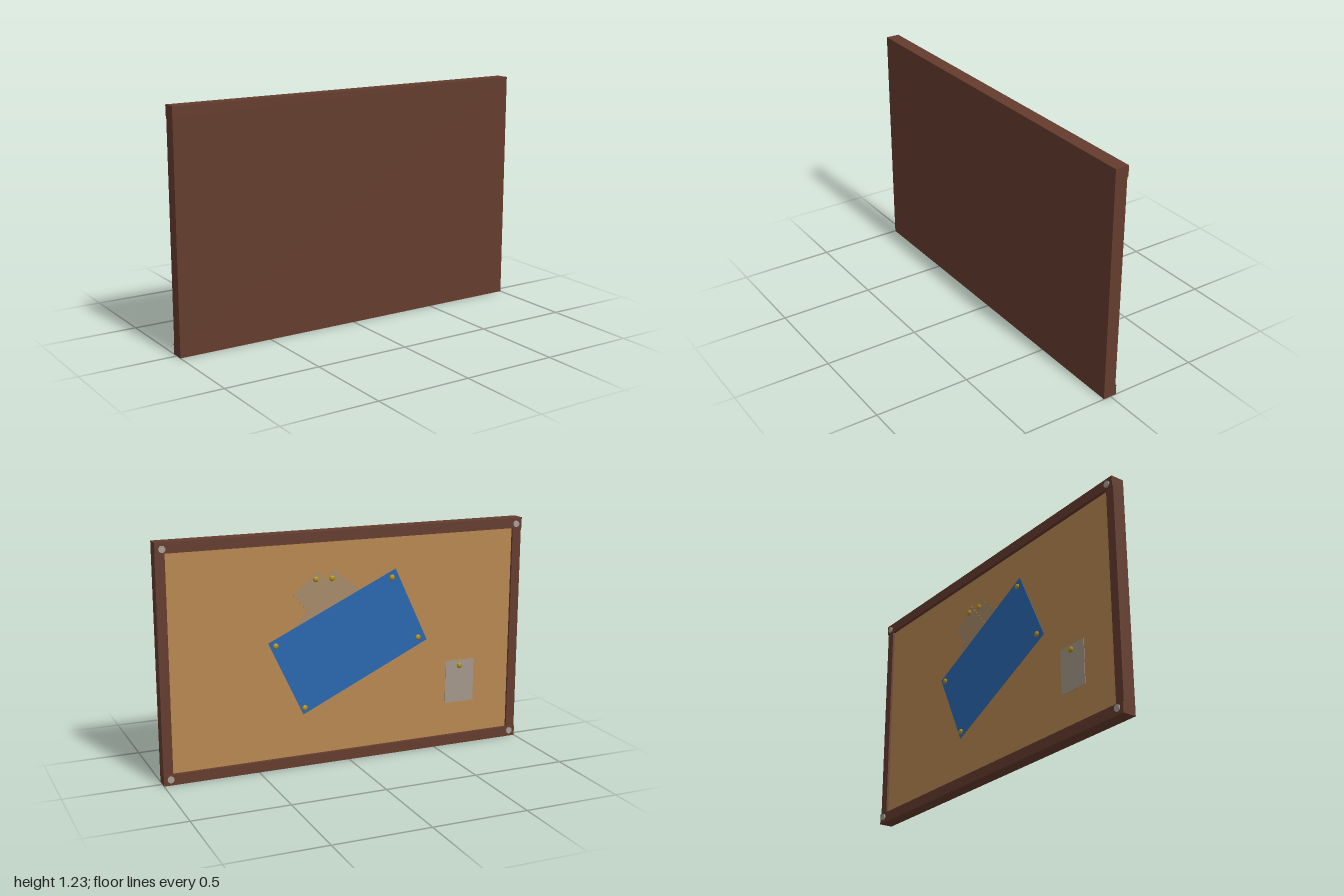
import * as THREE from 'three';

const material = (name, color) => {
  const m = new THREE.MeshStandardMaterial({ color });
  m.name = name;
  return m;
};

export function createModel() {
  const group = new THREE.Group();
  const wood = material('dark wood', 0x643c2e);
  const cork = material('cork', 0xb98850);
  const blue = material('blue paper', 0x2868b0);
  const grey = material('grey paper', 0xa4988a);
  const beige = material('beige paper', 0xa68a68);
  const brass = material('brass', 0xb08c10);
  const steel = material('screw steel', 0xa8a098);

  const add = (name, geometry, mat, x, y, z, turn = 0) => {
    const mesh = new THREE.Mesh(geometry, mat);
    mesh.name = name;
    mesh.position.set(x, y, z);
    mesh.rotation.z = turn;
    group.add(mesh);
    return mesh;
  };
  const box = (name, mat, w, h, zBack, zFront, x, y, turn) =>
    add(name, new THREE.BoxGeometry(w, h, zFront - zBack), mat, x, y, (zBack + zFront) / 2, turn);

  // Backing panel with the cork facing -z
  box('backingPanel', wood, 1.9, 1.115, -0.008, 0.04, 0, 0.6125);
  box('corkSheet', cork, 1.9, 1.115, -0.015, -0.008, 0, 0.6125);

  // Frame: full-width rails and slightly thinner side posts
  for (const [name, y] of [['bottomRail', 0.0275], ['topRail', 1.1975]])
    box(name, wood, 2, 0.055, -0.033, 0.04, 0, y);
  for (const [name, s] of [['leftPost', 1], ['rightPost', -1]])
    box(name, wood, 0.05, 1.115, -0.027, 0.04, s * 0.975, 0.6125);

  // Pinned papers, stacked outwards from the cork
  box('tallNote', beige, 0.3, 0.4, -0.0165, -0.015, 0.082, 0.771, 0.63);
  box('smallNote', beige, 0.172, 0.235, -0.018, -0.015, 0.158, 0.874, -0.693);
  box('bluePoster', blue, 0.775, 0.437, -0.0205, -0.0185, -0.007, 0.639, -0.438);
  box('greyNote', grey, 0.17, 0.235, -0.0175, -0.015, -0.654, 0.352);

  // Push pins: flattened balls
  const pinShape = new THREE.SphereGeometry(0.015, 16, 12).scale(1, 1, 0.6);
  const pins = [[0.179, 0.982], [0.09, 0.98], [-0.2445, 0.957], [0.398, 0.656],
    [-0.398, 0.623], [0.2445, 0.312], [-0.651, 0.44]];
  for (const [x, y] of pins) add('pin', pinShape, brass, x, y, -0.023);

  // Corner screws
  const screwShape = new THREE.CylinderGeometry(0.017, 0.017, 0.008, 20).rotateX(Math.PI / 2);
  for (const x of [-0.965, 0.965])
    for (const y of [0.032, 1.192]) add('screw', screwShape, steel, x, y, -0.036);

  return group;
}
